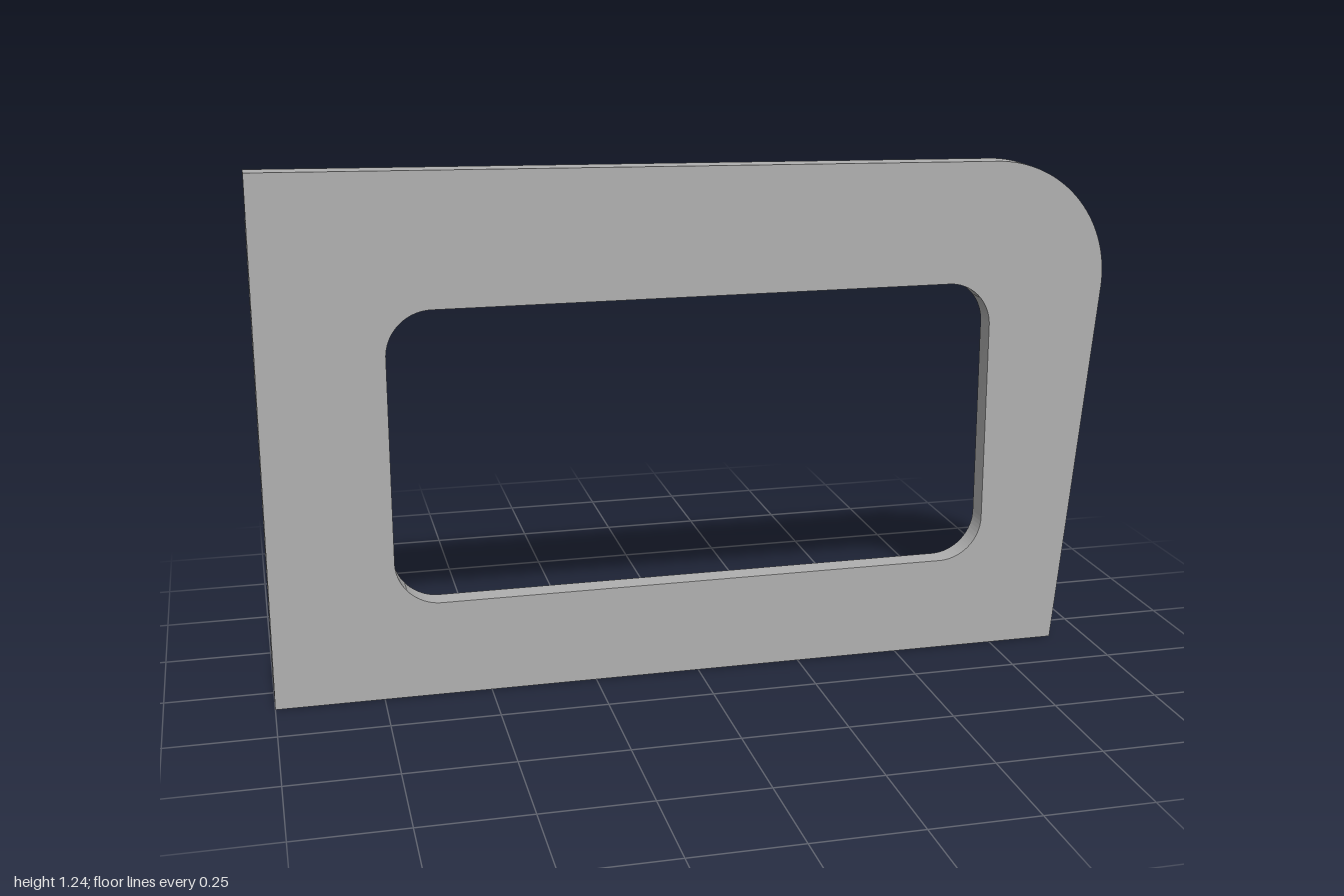
import * as THREE from 'three';
import { toCreasedNormals } from 'three/addons/utils/BufferGeometryUtils.js';

const BACK = -0.1, SEAM = 0.045, FRONT = 0.1; // depth planes

export function createModel() {
  const group = new THREE.Group();
  const grey = new THREE.MeshStandardMaterial({ color: 0xb0b0b0 });
  grey.name = 'grey';

  const extrude = (shape, depth) => toCreasedNormals(
    new THREE.ExtrudeGeometry(shape, { depth, bevelEnabled: false, curveSegments: 24 }), 0.5);

  const add = (name, geometry) => {
    const mesh = new THREE.Mesh(geometry, grey);
    mesh.name = name;
    group.add(mesh);
  };

  // Rectangle whose first axis spans u0..u1, with a round hole
  const drilledStrip = (u0, u1, v0, v1, hu, hv) => {
    const s = new THREE.Shape();
    s.moveTo(u0, v0).lineTo(u1, v0).lineTo(u1, v1).lineTo(u0, v1).closePath();
    s.holes.push(new THREE.Path().absarc(hu, hv, 0.0375, 0, Math.PI * 2, true));
    return s;
  };

  // Face plate: sloping top, slanted side, one large rounded corner
  const outline = new THREE.Shape();
  outline.moveTo(-1, 0).lineTo(0.912, 0);
  outline.absarc(0.715, 0.92, 0.285, -0.095, Math.PI / 2 - 0.0175, false);
  outline.lineTo(-1, 1.235).closePath();

  // Rounded window opening
  const w = 0.715, y0 = 0.227, y1 = 0.918, r = 0.105, q = Math.PI / 2;
  const opening = new THREE.Path();
  opening.absarc(w - r, y0 + r, r, -q, 0, false);
  opening.absarc(w - r, y1 - r, r, 0, q, false);
  opening.absarc(-w + r, y1 - r, r, q, 2 * q, false);
  opening.absarc(-w + r, y0 + r, r, 2 * q, 3 * q, false);
  opening.closePath();
  outline.holes.push(opening);
  add('facePlate', extrude(outline, FRONT - SEAM).translate(0, 0, SEAM));

  // Upright flange, drilled sideways (profile in -z, y; swept along x)
  add('uprightFlange', extrude(drilledStrip(-SEAM, -BACK, 0, 1.108, 0.028, 0.88), 0.1)
    .rotateY(Math.PI / 2).translate(-1, 0, 0));

  // Bottom flange, drilled vertically (profile in x, -z; swept along y)
  add('bottomFlange', extrude(drilledStrip(-0.9, 0.664, -SEAM, -BACK, 0.22, 0.03), 0.1)
    .rotateX(-Math.PI / 2));

  return group;
}
